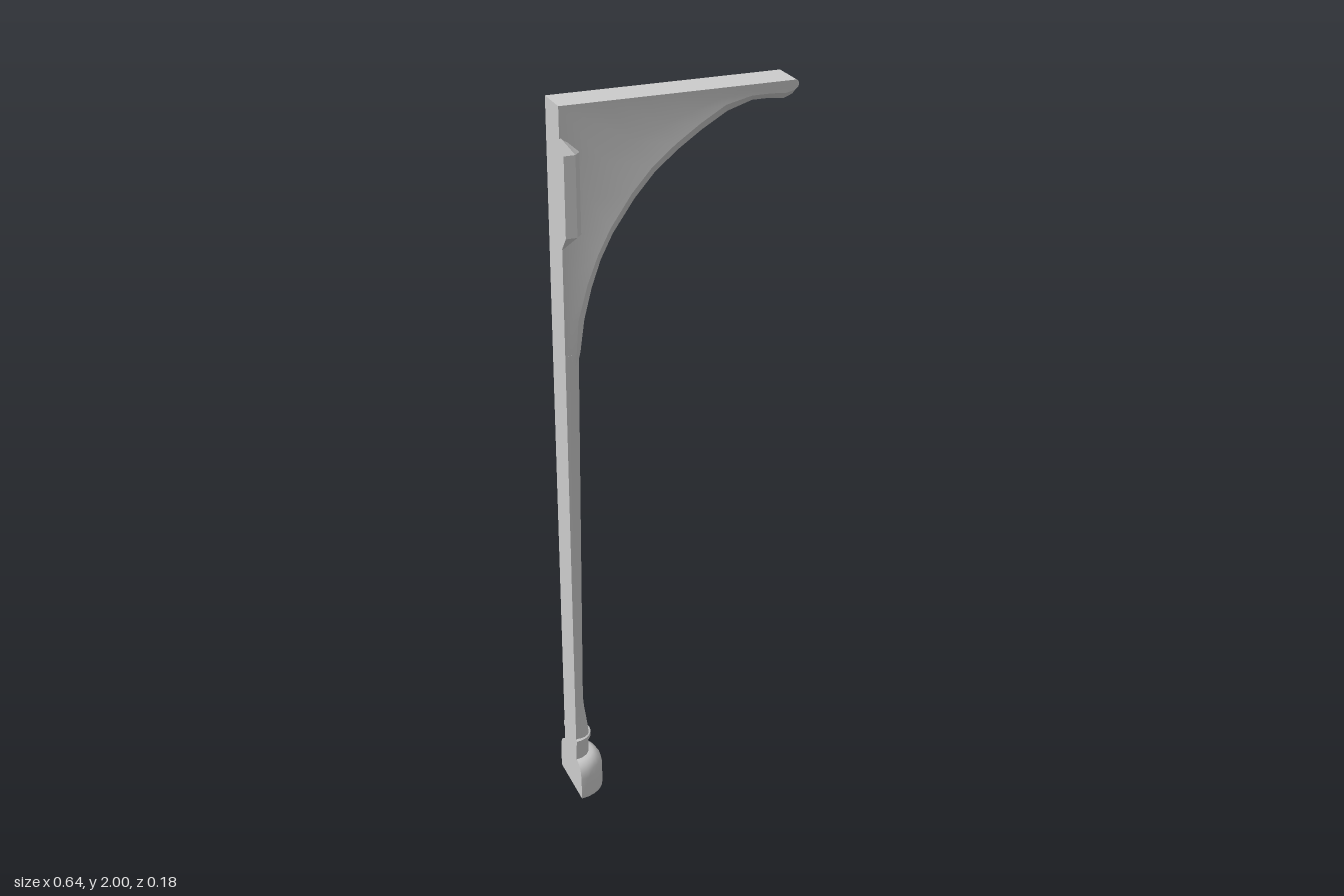
import * as THREE from 'three';
import { toCreasedNormals } from 'three/addons/utils/BufferGeometryUtils.js';

const WALL = -0.32;
const material = new THREE.MeshStandardMaterial({ color: 0xcccccc });

// Closed, capped skin through equal-length loops of [x, y, z].
function loft(name, loops, crease = 0.6) {
  const out = [];
  const tri = (...pts) => pts.forEach((p) => out.push(...p));
  const n = loops[0].length;
  for (let i = 0; i < loops.length - 1; i++) {
    const a = loops[i], b = loops[i + 1];
    for (let k = 0; k < n; k++) {
      const m = (k + 1) % n;
      tri(a[k], a[m], b[m]);
      tri(a[k], b[m], b[k]);
    }
  }
  const first = loops[0], last = loops[loops.length - 1];
  for (let k = 1; k < n - 1; k++) {
    tri(first[0], first[k + 1], first[k]);
    tri(last[0], last[k], last[k + 1]);
  }
  const geometry = new THREE.BufferGeometry();
  geometry.setAttribute('position', new THREE.Float32BufferAttribute(out, 3));
  const mesh = new THREE.Mesh(toCreasedNormals(geometry, crease), material);
  mesh.name = name;
  return mesh;
}

// Half-ellipse against the wall; power below 1 squares it off.
function halfRound(depth, width, y, power = 1, steps = 12) {
  const loop = [];
  for (let i = 0; i <= steps; i++) {
    const a = (i / steps) * Math.PI;
    const c = Math.cos(a), s = Math.max(0, Math.sin(a));
    loop.push([WALL + depth * s ** power, y, width * Math.sign(c) * Math.abs(c) ** power]);
  }
  return loop;
}

// Bracket: stations pair a point on the wall/top edge with one on the curved underside.
function bracket() {
  const stations = [
    [-0.32, 1.31, -0.27, 1.325],
    [-0.32, 1.34, -0.264, 1.345],
    [-0.32, 1.45, -0.25, 1.43],
    [-0.32, 1.6, -0.23, 1.51],
    [-0.32, 1.75, -0.206, 1.58],
    [-0.32, 1.88, -0.173, 1.645],
    [-0.32, 2, -0.113, 1.73],
    [-0.2, 2, -0.06, 1.79],
    [-0.09, 2, 0, 1.84],
    [0, 2, 0.066, 1.885],
    [0.09, 2, 0.135, 1.925],
    [0.17, 2, 0.2, 1.947],
    [0.23, 2, 0.245, 1.947],
    [0.275, 2, 0.285, 1.942],
    [0.298, 2, 0.308, 1.952],
    [0.306, 2, 0.317, 1.966],
    [0.312, 1.996, 0.32, 1.98],
  ];
  const loops = stations.map(([px, py, qx, qy], i) => {
    const length = Math.hypot(qx - px, qy - py);
    const rim = 1 - Math.min(0.035 / length, 0.45);
    const end = i === stations.length - 1 ? 0.9 : 1;
    const pinch = 0.05 - 0.008 * Math.min(1, length / 0.25);
    // [fraction towards the underside, half width]
    const side = [[0, 0.05], [rim * 0.6, pinch], [rim, 0.047], [rim + (1 - rim) * 0.75, 0.024]];
    const at = (t, z) => [px + (qx - px) * t, py + (qy - py) * t, z * end];
    return [
      ...side.map(([t, z]) => at(t, z)),
      at(1, 0),
      ...side.slice().reverse().map(([t, z]) => at(t, -z)),
    ];
  });
  return loft('bracket', loops, 0.5);
}

// Side plate with bevelled ends and outer edge.
function sidePlate() {
  const section = (y, xOut, zOut) => [
    [WALL, y, zOut], [xOut - 0.6 * (xOut - WALL) * 0.6, y, zOut],
    [xOut, y, zOut - 0.4 * (zOut - 0.03)], [xOut, y, 0.03], [WALL, y, 0.03],
  ];
  return loft('sidePlate', [
    section(1.64, -0.312, 0.05), section(1.675, -0.273, 0.08),
    section(1.885, -0.273, 0.08), section(1.92, -0.312, 0.05),
  ], 0.3);
}

export function createModel() {
  const group = new THREE.Group();
  group.name = 'wallPostWithBracket';

  // Rounded foot
  const foot = [[0.088, 0], [0.088, 0.065], [0.084, 0.085], [0.075, 0.1], [0.062, 0.108], [0.048, 0.11]];
  group.add(loft('foot', foot.map(([r, y]) => halfRound(r, r, y))));

  // Neck and its ring
  group.add(loft('neck', [halfRound(0.05, 0.05, 0.1), halfRound(0.05, 0.05, 0.17)]));
  const ring = [[0.05, 0.158], [0.057, 0.162], [0.057, 0.174], [0.05, 0.178]];
  group.add(loft('neckRing', ring.map(([r, y]) => halfRound(r, r, y))));

  // Half-round shaft, flared at the foot and deepening upwards
  const shaft = [[0.05, 0.17], [0.047, 0.2], [0.038, 0.26], [0.034, 0.3], [0.041, 0.8], [0.049, 1.35]];
  group.add(loft('shaft', shaft.map(([d, y]) => halfRound(d, 0.05, y, 0.8))));

  group.add(bracket(), sidePlate());
  return group;
}
